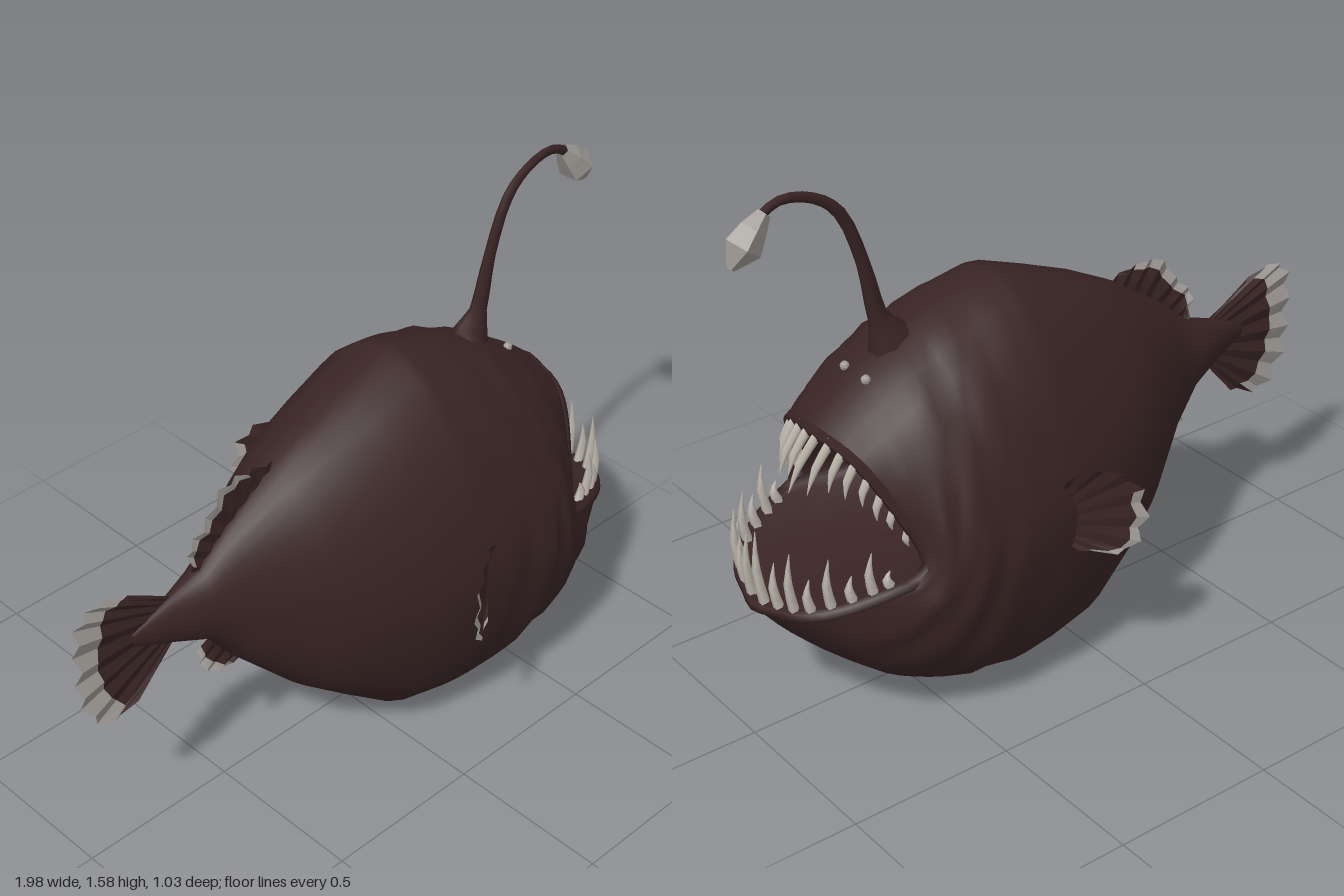
import * as THREE from 'three';

const V = (x, y, z = 0) => new THREE.Vector3(x, y, z);
const curve = (pts) => new THREE.CatmullRomCurve3(pts.map((p) => V(...p)));
const hash = (a, b) => {
  const s = Math.sin(a * 12.9898 + b * 78.233) * 43758.5453;
  return (s - Math.floor(s)) * 2 - 1;
};

// Surface through rows of points; closed rows wrap around
function grid(rows, closed) {
  const n = rows[0].length, idx = [];
  for (let r = 0; r < rows.length - 1; r++) {
    for (let j = 0; j < (closed ? n : n - 1); j++) {
      const k = (j + 1) % n, a = r * n + j, b = r * n + k, c = a + n, d = b + n;
      idx.push(a, b, c, b, d, c);
    }
  }
  const g = new THREE.BufferGeometry().setFromPoints(rows.flat());
  g.setIndex(idx);
  g.computeVertexNormals();
  return g;
}

// Tapered tube along a curve
function taper(path, radii, steps, sides) {
  const rows = [];
  for (let i = 0; i <= steps; i++) {
    const t = i / steps, p = path.getPoint(t), tan = path.getTangent(t);
    const n = V(0, 0, 1).cross(tan).normalize(), b = tan.clone().cross(n);
    const f = t * (radii.length - 1), k = Math.min(Math.floor(f), radii.length - 2);
    const r = THREE.MathUtils.lerp(radii[k], radii[k + 1], f - k);
    rows.push(Array.from({ length: sides }, (_, j) => {
      const a = (j / sides) * Math.PI * 2;
      return p.clone().addScaledVector(n, r * Math.cos(a)).addScaledVector(b, r * Math.sin(a));
    }));
  }
  return grid(rows, true);
}

export function createModel() {
  const model = new THREE.Group();
  const mat = (name, color, extra = {}) => new THREE.MeshStandardMaterial({ name, color, ...extra });
  const skin = mat('dark skin', 0x392424);
  const finSkin = mat('fin skin', 0x392424, { side: THREE.DoubleSide, flatShading: true });
  const pale = mat('pale fin edge', 0x9f9a95, { side: THREE.DoubleSide, flatShading: true });
  const ivory = mat('tooth ivory', 0xbdb7ac);
  const add = (name, geo, material, parent = model) => {
    const m = new THREE.Mesh(geo, material);
    m.name = name;
    parent.add(m);
    return m;
  };

  // Mouth rim, from the upper lip past the corner to the chin
  const rim = curve([[0.77, 0.9, 0], [0.74, 0.865, 0.15], [0.68, 0.74, 0.25], [0.625, 0.56, 0.315],
    [0.76, 0.51, 0.285], [0.92, 0.46, 0.18], [0.98, 0.43, 0]]);
  const N = 32;
  const ring = (f) => Array.from({ length: N }, (_, j) => f((j / N) * Math.PI * 2, j));
  const rimAt = (a) => {
    const p = rim.getPoint(a <= Math.PI ? a / Math.PI : 2 - a / Math.PI);
    if (a > Math.PI) p.z *= -1;
    return p;
  };

  // Egg outline: narrow back, broad belly
  const egg = (a) => {
    const c = Math.cos(a);
    return Math.sin(a) * (c > 0 ? 1 - 0.13 * c : 1 - 0.35 * c ** 3);
  };

  // Body: x, top, bottom, half width from the tail stalk to the belly
  const sections = [[-0.8, 0.72, 0.68, 0.004], [-0.67, 0.775, 0.625, 0.042], [-0.56, 0.81, 0.58, 0.085],
    [-0.47, 0.89, 0.46, 0.115], [-0.28, 1.02, 0.26, 0.25], [-0.15, 1.085, 0.16, 0.32],
    [0, 1.145, 0.045, 0.37], [0.15, 1.2, 0.015, 0.4]];
  const oval = ([x, top, bot, w]) => (a) =>
    V(x, (top + bot) / 2 + Math.cos(a) * (top - bot) / 2, egg(a) * w);
  const rows = sections.map((s) => ring(oval(s)));

  // Head: swells forward and closes in to the mouth rim, with wrinkled cheeks
  const base = oval(sections[sections.length - 1]);
  const STEPS = 18;
  for (let i = 1; i <= STEPS; i++) {
    const t = i / STEPS;
    rows.push(ring((a, j) => {
      const c = Math.cos(a);
      const mid = V(0.62 - 0.12 * Math.max(0, c) - 0.02 * Math.min(0, c), 0.55 + 0.6 * c, 0.46 * egg(a));
      const p = base(a).multiplyScalar((1 - t) ** 2)
        .addScaledVector(mid, 2 * t * (1 - t)).addScaledVector(rimAt(a), t * t);
      const fold = 4 * t * (1 - t) * Math.abs(Math.sin(a));
      const d = fold * (0.007 * Math.sin(26 * t + 2 * Math.sin(3 * a)) + 0.006 * hash(i, j));
      return p.add(V(d * 0.5, c * d, Math.sin(a) * d));
    }));
  }
  add('body', grid(rows, true), skin);

  // Mouth cavity running back to the throat
  const throat = V(0.34, 0.62, 0);
  const cavity = [[0, 1], [0.05, 0.93], [0.3, 0.9], [0.65, 0.75], [0.92, 0.5], [1, 0.01]].map(([k, s]) =>
    ring((a) => {
      const p = rimAt(a), c = V(p.x, 0.62, 0).lerp(throat, k);
      return V(c.x, c.y + (p.y - 0.62) * s, p.z * s);
    }));
  add('mouthInterior', grid(cavity, true), skin);

  // Raised lip around the mouth
  const lipPath = new THREE.CatmullRomCurve3(ring((a) => rimAt(a).add(V(-0.012, -0.006, 0))), true);
  add('lip', new THREE.TubeGeometry(lipPath, 64, 0.019, 5, true), skin);

  // Tiny eyes on the brow
  for (const side of [1, -1]) {
    const eye = add(side > 0 ? 'leftEye' : 'rightEye', new THREE.SphereGeometry(0.014, 8, 6), pale);
    eye.position.set(0.615, 1.018, 0.05 * side);
  }

  // Teeth
  const teeth = new THREE.Group();
  teeth.name = 'teeth';
  model.add(teeth);
  const tooth = (name, v, side, len, dir, bend, r) => {
    const p = rim.getPoint(v);
    p.z *= 0.94 * side;
    p.x -= 0.015;
    const tip = p.clone().addScaledVector(dir, len);
    const mid = p.clone().lerp(tip, 0.5).add(V(bend, 0, 0));
    add(name, taper(new THREE.CatmullRomCurve3([p, mid, tip]), [r, r * 0.8, 0.001], 4, 5), ivory, teeth);
  };
  for (const side of [1, -1]) {
    for (let i = 0; i < 8; i++) {
      const f = i / 7, jit = hash(i, side);
      tooth('upperTooth', 0.025 + 0.37 * f, side, 0.165 - 0.08 * f + 0.03 * jit,
        V(0.55 - 0.42 * f, -0.85, 0.06 * jit), 0.014, 0.015);
      tooth('lowerTooth', 0.97 - 0.34 * f, side, (i % 2 ? 0.15 : 0.22) - 0.08 * f + 0.02 * jit,
        V(0.05, 1, 0.06 * jit), 0.012, 0.016);
    }
  }

  // Fins: rippled fans; the ragged border is pale between two fractions of its length
  function fan(name, rootA, rootB, outline, n, split, ripple, from, to) {
    const edge = curve(outline), a = V(...rootA), b = V(...rootB);
    const row = (s) => Array.from({ length: n + 1 }, (_, i) => {
      const odd = i % 2, ragged = s === 1 ? 1 - 0.05 * odd : s + (s === split ? 0.04 * hash(i, n) : 0);
      return a.clone().lerp(b, i / n).lerp(edge.getPoint(i / n), ragged)
        .addScaledVector(ripple, (odd ? 1 : -1) * s);
    });
    const g = new THREE.Group();
    g.name = name;
    model.add(g);
    add(name + 'Web', grid([row(0), row(split / 2), row(split)], false), finSkin, g);
    const i0 = Math.round(from * n), i1 = Math.round(to * n);
    for (const [s, e, m] of [[0, i0, finSkin], [i0, i1, pale], [i1, n, finSkin]]) {
      if (e > s) add(name + 'Edge', grid([row(split), row(1)].map((r) => r.slice(s, e + 1)), false), m, g);
    }
  }
  fan('tailFin', [-0.65, 0.77, 0], [-0.65, 0.63, 0],
    [[-0.8, 0.855, 0], [-0.92, 0.89, 0], [-0.99, 0.84, 0], [-0.995, 0.7, 0], [-0.985, 0.56, 0],
      [-0.9, 0.455, 0], [-0.76, 0.5, 0]], 18, 0.76, V(0, 0, 0.008), 0.12, 0.9);
  fan('dorsalFin', [-0.26, 1.0, 0], [-0.54, 0.78, 0],
    [[-0.28, 1.03, 0], [-0.37, 1.045, 0], [-0.46, 1.04, 0], [-0.53, 0.95, 0], [-0.59, 0.89, 0],
      [-0.58, 0.81, 0]], 14, 0.78, V(0, 0, 0.008), 0.2, 0.92);
  fan('analFin', [-0.38, 0.4, 0], [-0.52, 0.56, 0],
    [[-0.43, 0.42, 0], [-0.5, 0.405, 0], [-0.56, 0.45, 0], [-0.575, 0.52, 0]], 8, 0.72, V(0, 0, 0.008), 0.25, 1);
  for (const s of [1, -1]) {
    fan(s > 0 ? 'leftSideFin' : 'rightSideFin', [0.21, 0.66, 0.375 * s], [0.21, 0.52, 0.375 * s],
      [[0.22, 0.72, 0.4 * s], [0.12, 0.745, 0.455 * s], [0.035, 0.69, 0.5 * s], [0.015, 0.57, 0.51 * s],
        [0.06, 0.475, 0.485 * s], [0.18, 0.49, 0.41 * s]], 14, 0.86, V(0.003, 0, 0.006), 0.4, 0.95);
  }

  // Lure stalk and its pale bulb
  const stalk = curve([[0.5, 1.08, 0], [0.535, 1.16, 0], [0.575, 1.33, 0], [0.64, 1.49, 0],
    [0.72, 1.555, 0], [0.82, 1.575, 0], [0.9, 1.535, 0]]);
  const stalkMesh = add('lureStalk',
    taper(stalk, [0.07, 0.03, 0.02, 0.018, 0.015, 0.014, 0.014], 18, 7), skin);
  stalkMesh.scale.z = 0.75;
  const bulb = curve([[0.865, 1.555, 0], [0.9, 1.52, 0], [0.935, 1.48, 0], [0.972, 1.43, 0]]);
  add('lureBulb', taper(bulb, [0.02, 0.04, 0.054, 0.012], 3, 5), pale);

  return model;
}
